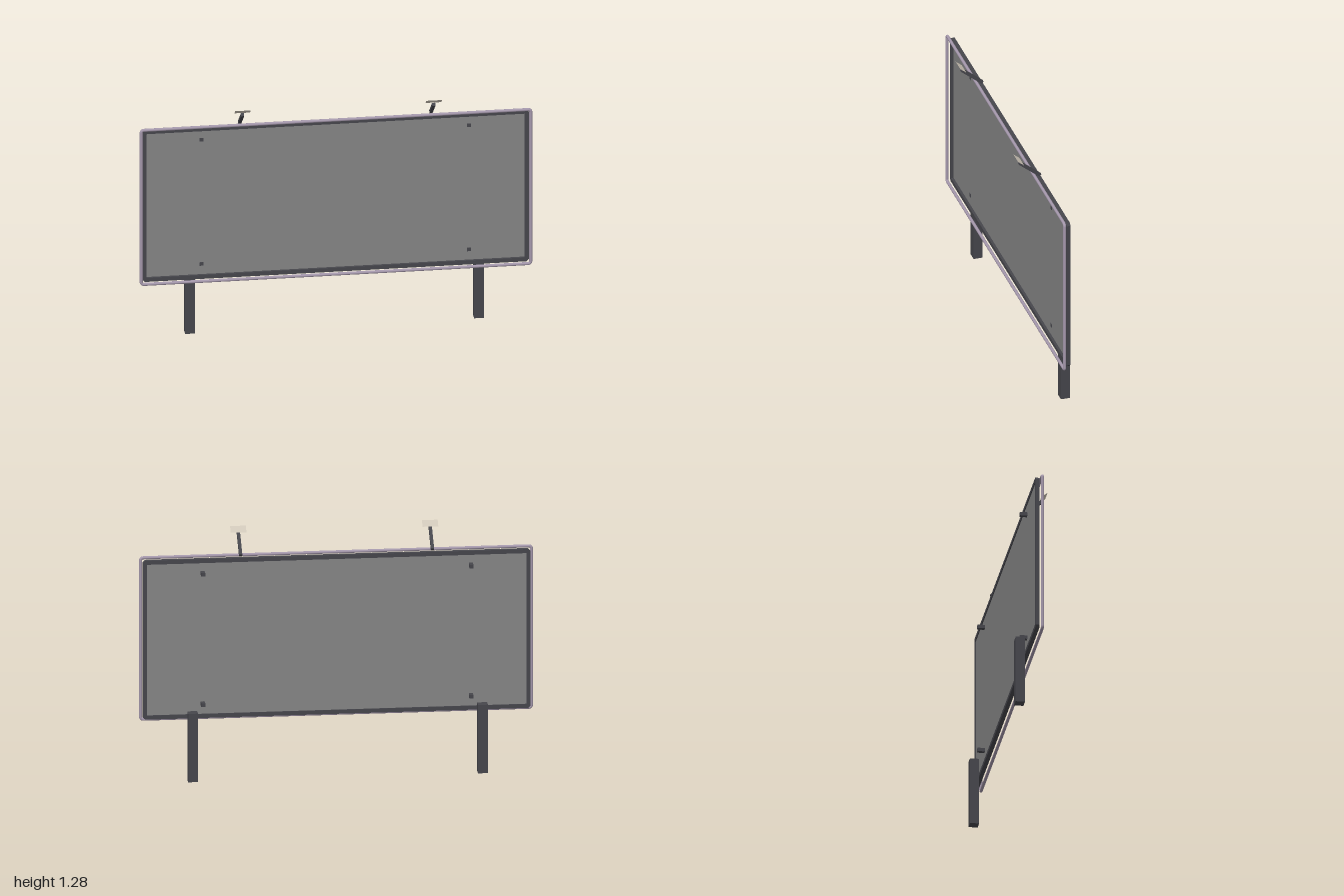
import * as THREE from 'three';

const dark = new THREE.MeshStandardMaterial({ color: 0x46464c });
const tubeMat = new THREE.MeshStandardMaterial({ color: 0xa598ac });
const panelMat = new THREE.MeshStandardMaterial({ color: 0x858585 });
const lampMat = new THREE.MeshStandardMaterial({ color: 0xcfc6b8, side: THREE.DoubleSide });

export function createModel() {
  const group = new THREE.Group();
  const add = (name, geometry, material, x, y, z) => {
    const mesh = new THREE.Mesh(geometry, material);
    mesh.name = name;
    mesh.position.set(x, y, z);
    group.add(mesh);
    return mesh;
  };
  const midY = 0.735;

  // Octagonal outline: a rectangle with its corners cut by c
  const outline = (Type, w, h, c) => new Type([
    [w - c, -h], [w, c - h], [w, h - c], [w - c, h],
    [c - w, h], [-w, h - c], [-w, c - h], [c - w, -h],
  ].map(([x, y]) => new THREE.Vector2(x, y)));

  // Dark panel frame with trimmed corners
  const frameShape = outline(THREE.Shape, 0.984, 0.418, 0.012);
  frameShape.holes.push(outline(THREE.Path, 0.963, 0.397, 0.001));
  add('panelFrame', new THREE.ExtrudeGeometry(frameShape, { depth: 0.021, bevelEnabled: false }),
    dark, 0, midY, -0.034);

  // Display panel, set near the back of its frame
  add('panel', new THREE.BoxGeometry(1.93, 0.798, 0.003), panelMat, 0, midY, -0.028);

  // Round tube border in front, with curved corners
  const r = 0.008, bend = 0.013, halfW = 1 - r, halfH = 0.433 - r;
  for (const s of [-1, 1]) {
    const rail = new THREE.CylinderGeometry(r, r, 2 * (halfW - bend), 12, 1, true).rotateZ(Math.PI / 2);
    add('borderRail', rail, tubeMat, 0, midY + s * halfH, 0);
    const side = new THREE.CylinderGeometry(r, r, 2 * (halfH - bend), 12, 1, true);
    add('borderSide', side, tubeMat, s * halfW, midY, 0);
  }
  [[1, 1], [-1, 1], [-1, -1], [1, -1]].forEach(([sx, sy], i) => {
    const corner = new THREE.TorusGeometry(bend, r, 12, 8, Math.PI / 2).rotateZ(i * Math.PI / 2);
    add('borderCorner', corner, tubeMat, sx * (halfW - bend), midY + sy * (halfH - bend), 0);
  });

  // Lamp arm slope, rising towards the front
  const rise = 0.089, reach = 0.11;
  const tilt = -Math.atan2(rise, reach);
  for (const s of [-1, 1]) {
    // Support post
    add('post', new THREE.BoxGeometry(0.05, 0.36, 0.047), dark, s * 0.736, 0.18, -0.0765);

    // Rear mounting brackets
    for (const y of [0.394, 1.08])
      add('bracket', new THREE.BoxGeometry(0.02, 0.019, 0.042), dark, s * 0.681, y, -0.046);

    // Lamp arm and its thin tilted head
    const arm = new THREE.BoxGeometry(0.016, 0.016, Math.hypot(rise, reach));
    add('lampArm', arm, dark, s * 0.487, 1.209, 0.027).rotation.x = tilt;
    const head = new THREE.PlaneGeometry(0.08, 0.041).rotateX(-Math.PI / 2);
    add('lampHead', head, lampMat, s * 0.487, 1.27, 0.084).rotation.x = tilt;
  }
  return group;
}
